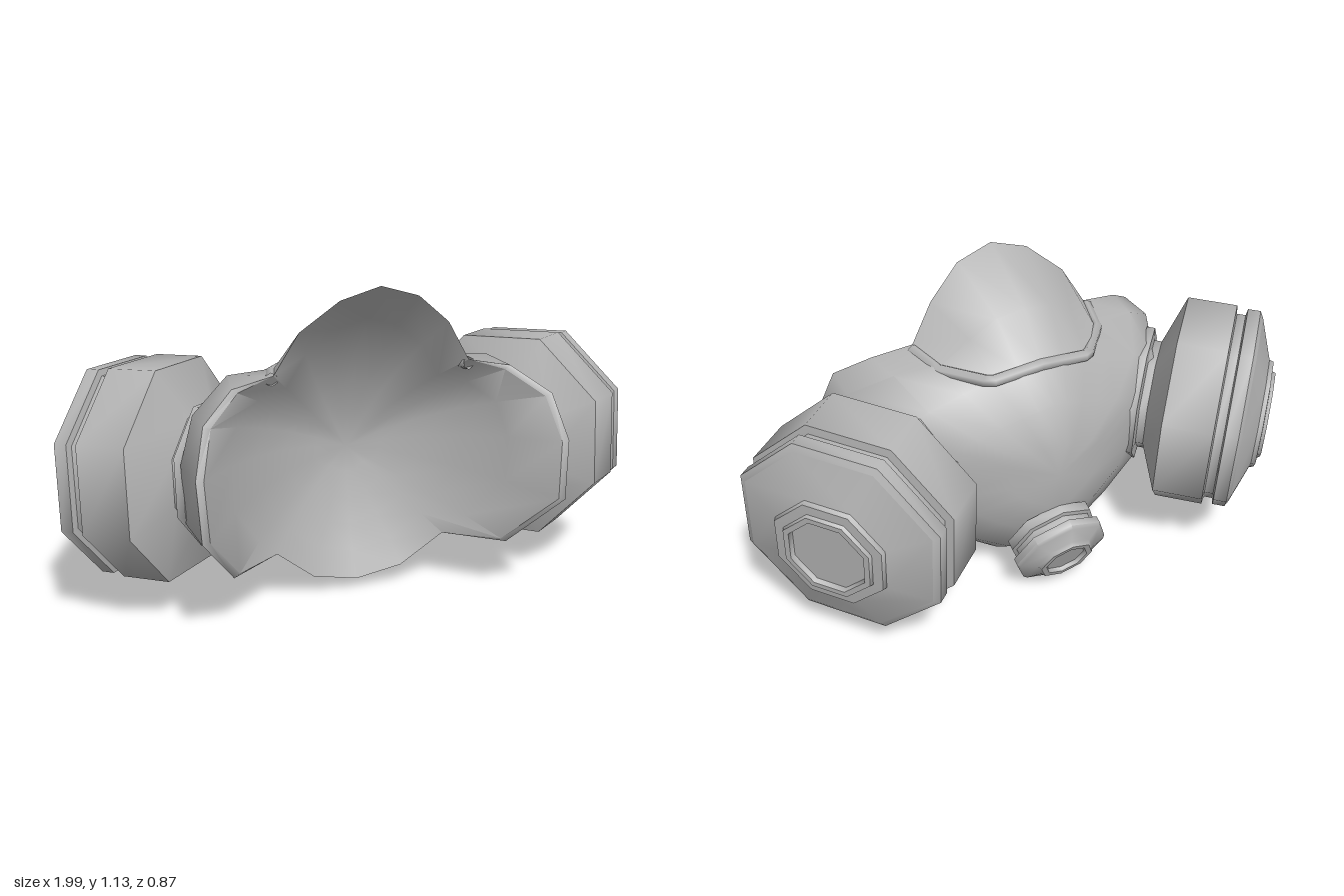
import * as THREE from 'three';
import { toCreasedNormals } from 'three/addons/utils/BufferGeometryUtils.js';

const V = (x, y, z) => new THREE.Vector3(x, y, z);

// Half cross-sections of the mask, from the nose bridge down to the chin
const RIM = [[0, 1.13, .31], [.13, 1.09, .3], [.25, .99, .26], [.33, .855, .245], [.47, .83, .27], [.58, .75, .36],
  [.62, .6, .42], [.61, .4, .435], [.48, .2, .27], [.3, .2, .13], [.16, .08, .09], [0, .045, .08]];
const SIDE = [[0, 1.0, .06], [.1, .98, .07], [.19, .92, .08], [.29, .84, .1], [.45, .835, .12], [.585, .745, .22],
  [.635, .6, .26], [.625, .4, .25], [.5, .205, .16], [.3, .17, .03], [.15, .08, 0], [0, .06, 0]];
const BACK = [[0, .86, -.055], [.08, .85, -.055], [.17, .83, -.045], [.27, .79, -.02], [.39, .75, -.01], [.495, .69, .02],
  [.53, .58, .03], [.51, .42, .03], [.425, .3, .005], [.28, .2, -.03], [.13, .12, -.06], [0, .1, -.07]];
const APEX = V(0, .48, -.19);
const HOLLOW = V(0, .5, -.04);

// Mirror a half section into a closed loop
function fullLoop(half) {
  const right = half.map(p => V(...p));
  const left = right.slice(1, -1).reverse().map(p => V(-p.x, p.y, p.z));
  return [...right, ...left];
}

// Skin a list of equal-length loops
function loft(loops) {
  const n = loops[0].length, index = [];
  for (let k = 0; k < loops.length - 1; k++) {
    for (let i = 0; i < n; i++) {
      const a = k * n + i, b = k * n + (i + 1) % n, c = a + n, d = b + n;
      index.push(a, b, c, b, d, c);
    }
  }
  const g = new THREE.BufferGeometry().setFromPoints(loops.flat());
  g.setIndex(index);
  return g;
}

// Loop drawn towards a centre point, pushed back by a bulge
const shrink = (loop, centre, t, bulge) => loop.map(p => {
  const q = p.clone().lerp(centre, t);
  q.z -= bulge(p) * 4 * t * (1 - t);
  return q;
});

function maskGeometry() {
  const rim = fullLoop(RIM), back = fullLoop(BACK);
  // Thin lip along both cheeks
  const lip = rim.map(p => Math.abs(p.x) > .35 ? V(p.x * .96, .52 + (p.y - .52) * .96, p.z) : p.clone());
  // Shallow hollow for the face, and the rounded muzzle outside
  const inside = [1, .8, .6, .4, .2].map(t => shrink(lip, HOLLOW, t, p => p.z * .25));
  const muzzle = [.33, .67, 1].map(t => shrink(back, APEX, t, () => .05));
  return toCreasedNormals(loft([...inside, lip, rim, fullLoop(SIDE), back, ...muzzle]), .85);
}

// Eight-sided turned part placed along an axis
function turned(profile, origin, axis, across, turn) {
  const g = toCreasedNormals(
    new THREE.LatheGeometry(profile.map(p => new THREE.Vector2(...p)), 8, turn), .83);
  const y = axis.clone().normalize();
  const x = y.clone().cross(across).normalize();
  const z = x.clone().cross(y);
  g.applyMatrix4(new THREE.Matrix4().makeBasis(x, y, z).setPosition(origin));
  return g;
}

const NECK = [[.23, -.13], [.25, -.13], [.25, -.1], [.205, -.095], [.205, -.04]];
const CANISTER = [[.2, -.07], [.38, 0], [.38, .175], [.35, .18], [.35, .21], [.373, .215], [.373, .26], [.35, .272]];
const FACE = [[.35, .272], [.205, .322], [.2, .338], [.165, .34], [.16, .352], [.14, .352], [.135, .335], [0, .335]];
const VALVE = [[.1, -.14], [.14, -.1], [.165, -.095], [.165, -.06], [.15, -.055], [.15, -.03], [.175, -.025],
  [.175, 0], [.165, .01], [.11, .03], [.1, .045], [.08, .045], [.075, .03], [0, .03]];

export function createModel() {
  const model = new THREE.Group();
  const grey = new THREE.MeshStandardMaterial({ color: 0xb4b4b4, side: THREE.DoubleSide });
  grey.name = 'grey rubber';
  const add = (name, geometry, parent = model) => {
    const mesh = new THREE.Mesh(geometry, grey);
    mesh.name = name;
    parent.add(mesh);
  };

  add('maskShell', maskGeometry());

  // Raised seam where the nose bridge meets the muzzle
  const half = [[0, .845, -.055], [.18, .825, -.045], [.3, .825, .1], [.335, .84, .235]];
  const seam = [...half.slice(1).reverse().map(([x, y, z]) => V(-x, y, z)), ...half.map(p => V(...p))];
  const path = new THREE.CurvePath();
  for (let i = 1; i < seam.length; i++) path.add(new THREE.LineCurve3(seam[i - 1], seam[i]));
  add('noseSeam', new THREE.TubeGeometry(path, 36, .022, 6));

  // Filter canisters on both cheeks
  for (const side of [1, -1]) {
    const filter = new THREE.Group();
    filter.name = side > 0 ? 'leftFilter' : 'rightFilter';
    const origin = V(side * .575, .499, .005);
    const axis = V(side * .755, -.06, -.655), across = V(side * .655, 0, .755);
    const turn = -side * THREE.MathUtils.degToRad(26.5);
    const place = profile => turned(profile, origin, axis, across, turn);
    add('filterNeck', place(NECK), filter);
    add('filterCanister', place(CANISTER), filter);
    add('filterFace', place(FACE), filter);
    model.add(filter);
  }

  // Exhale valve under the muzzle
  add('exhaleValve', turned(VALVE, V(0, .165, -.21), V(0, -.4, -.915), V(1, 0, 0), 0));

  return model;
}
